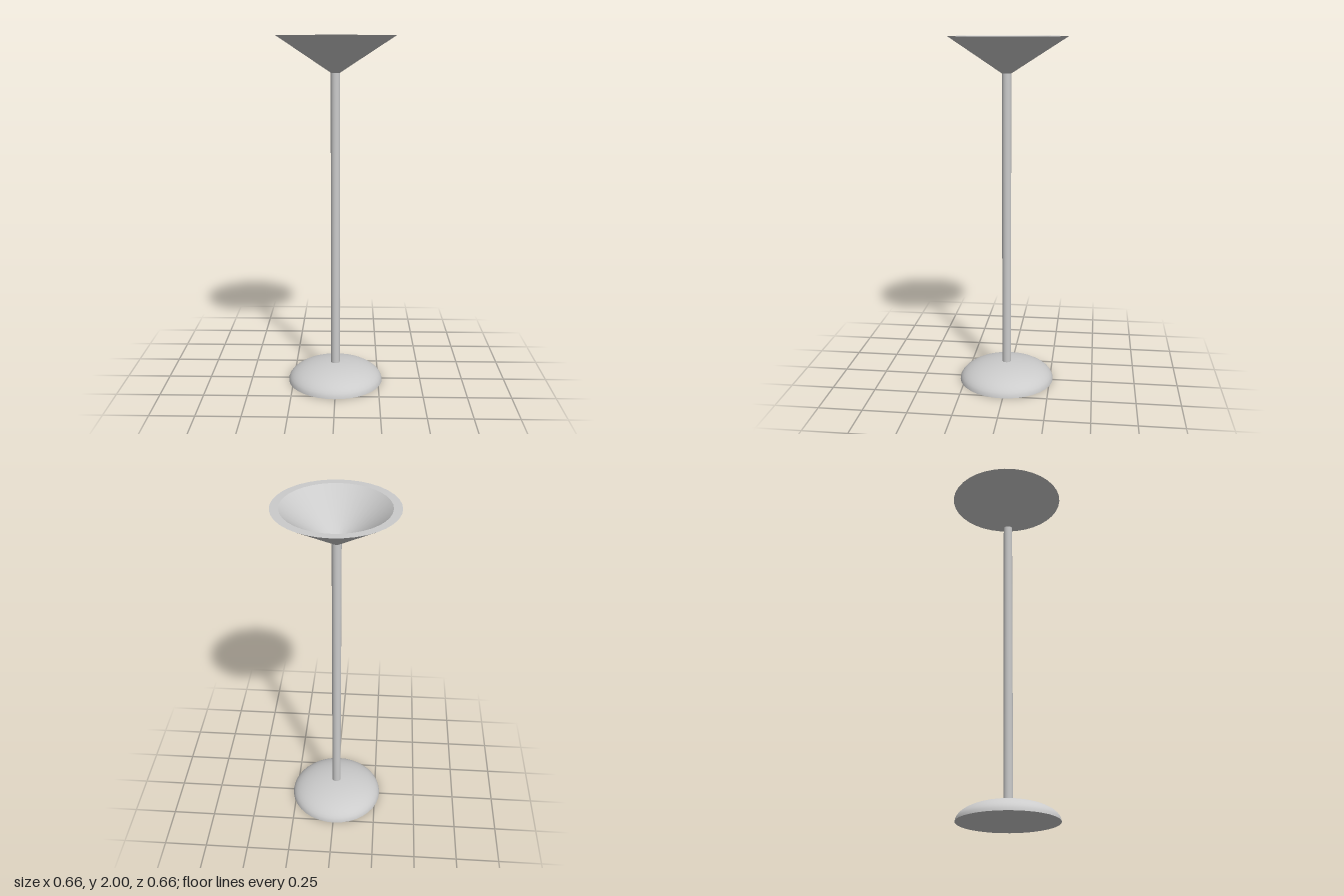
import * as THREE from 'three';
import { toCreasedNormals } from 'three/addons/utils/BufferGeometryUtils.js';

const SIDES = 36;
const AXIS = { x: -0.003, z: 0.008 }; // pole axis, slightly off the shade rim's centre

export function createModel() {
  const group = new THREE.Group();
  const material = new THREE.MeshStandardMaterial({ color: 0xcccccc });

  const add = (name, geometry) => {
    const mesh = new THREE.Mesh(geometry, material);
    mesh.name = name;
    group.add(mesh);
    return mesh;
  };
  const lathe = (profile) =>
    new THREE.LatheGeometry(profile.map(([r, y]) => new THREE.Vector2(r, y)), SIDES);

  // Low domed foot with a flat underside
  const dome = [[0, 0], [0.277, 0]];
  const steps = 12;
  for (let i = 1; i <= steps; i++) {
    const a = (i / steps) * Math.PI / 2;
    dome.push([i === steps ? 0 : 0.277 * Math.cos(a), 0.108 * Math.sin(a)]);
  }
  add('base', toCreasedNormals(lathe(dome), 0.6)).position.set(AXIS.x, 0, AXIS.z);

  // Slim round pole
  const poleHeight = 1.803;
  add('pole', new THREE.CylinderGeometry(0.026, 0.026, poleHeight, 24))
    .position.set(AXIS.x, poleHeight / 2, AXIS.z);

  // Conical uplighter bowl: outer wall, flat rim, inner wall
  const shade = lathe([
    [0.025, 1.8], [0.33, 2], [0.285, 2], [0.105, 1.853], [0.025, 1.8],
  ]);
  // Lean the lower end of the bowl onto the pole axis
  const p = shade.attributes.position;
  for (let i = 0; i < p.count; i++) {
    const k = (2 - p.getY(i)) / 0.2;
    p.setX(i, p.getX(i) + AXIS.x * k);
    p.setZ(i, p.getZ(i) + AXIS.z * k);
  }
  add('shade', toCreasedNormals(shade, 0.4));

  return group;
}
